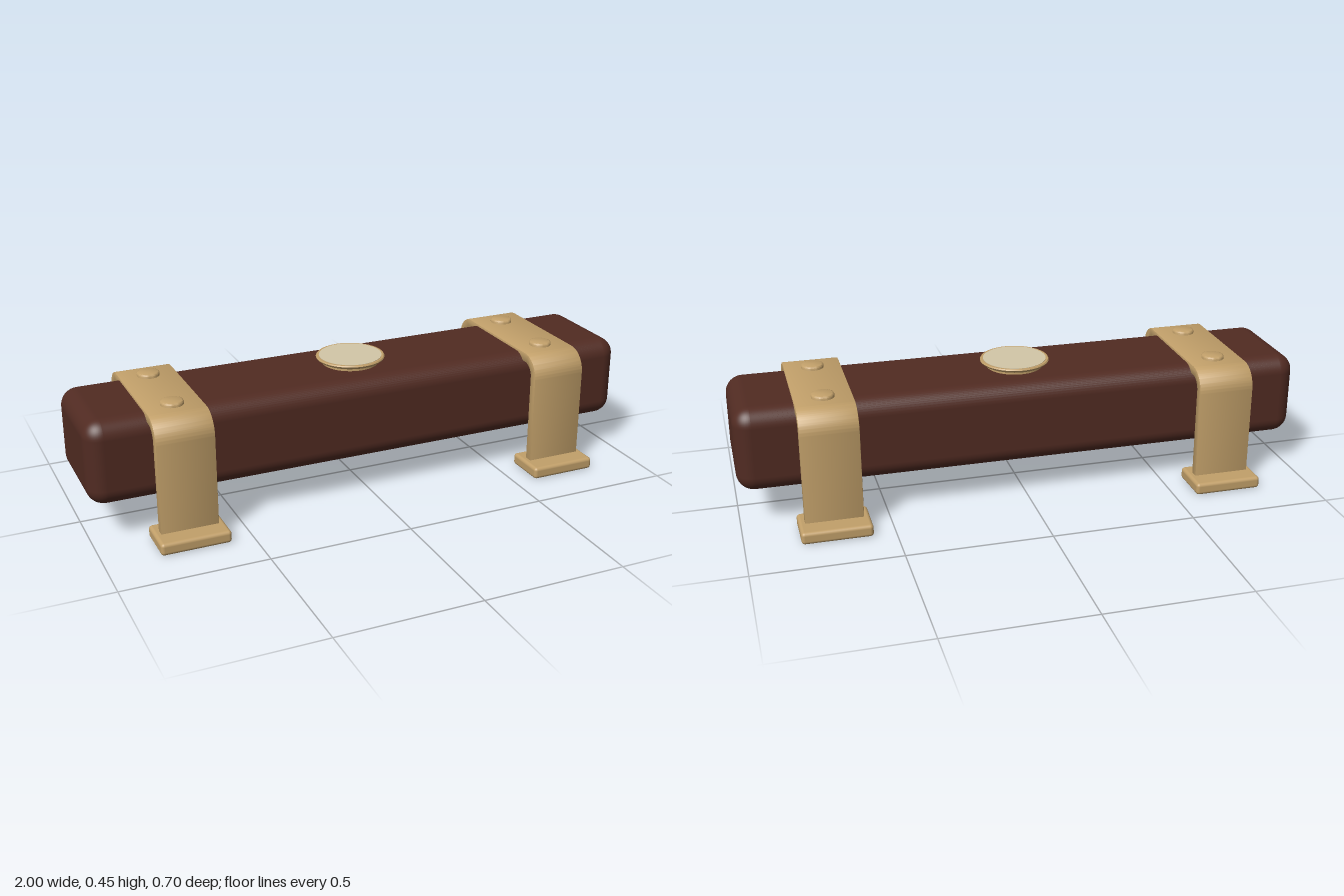
import * as THREE from 'three';
import { toCreasedNormals } from 'three/addons/utils/BufferGeometryUtils.js';
import { RoundedBoxGeometry } from 'three/addons/geometries/RoundedBoxGeometry.js';

const material = (name, color) => {
  const m = new THREE.MeshStandardMaterial({ color });
  m.name = name;
  return m;
};

// Arch outline in the side plane, drawn as outer edge then inner edge
function strapGeometry(width) {
  const bevel = 0.003;
  const out = 0.278 - bevel, inn = 0.246 + bevel;
  const top = 0.435 - bevel, under = 0.402 + bevel, foot = 0.03;
  const R = 0.075, r = 0.046;
  const s = new THREE.Shape();
  s.moveTo(out, foot);
  s.lineTo(out, top - R);
  s.absarc(out - R, top - R, R, 0, Math.PI / 2, false);
  s.lineTo(-out + R, top);
  s.absarc(-out + R, top - R, R, Math.PI / 2, Math.PI, false);
  s.lineTo(-out, foot);
  s.lineTo(-inn, foot);
  s.lineTo(-inn, under - r);
  s.absarc(-inn + r, under - r, r, Math.PI, Math.PI / 2, true);
  s.lineTo(inn - r, under);
  s.absarc(inn - r, under - r, r, Math.PI / 2, 0, true);
  s.lineTo(inn, foot);
  s.closePath();
  const depth = width - 2 * bevel;
  const g = new THREE.ExtrudeGeometry(s, {
    depth, curveSegments: 16, bevelEnabled: true,
    bevelThickness: bevel, bevelSize: bevel, bevelSegments: 2,
  });
  g.translate(0, 0, -depth / 2);
  g.rotateY(Math.PI / 2);
  return toCreasedNormals(g, 0.6);
}

// Turned part from [radius, height] pairs, bottom to top
const turned = (points, segments) => toCreasedNormals(
  new THREE.LatheGeometry(points.map(([x, y]) => new THREE.Vector2(x, y)), segments), 0.9);

export function createModel() {
  const group = new THREE.Group();
  const wood = material('dark wood', 0x512b22);
  const brass = material('brass', 0xc2a06a);
  const cream = material('cream', 0xd3c7a8);

  const add = (parent, name, geometry, mat, x = 0, y = 0, z = 0) => {
    const mesh = new THREE.Mesh(geometry, mat);
    mesh.name = name;
    mesh.position.set(x, y, z);
    parent.add(mesh);
  };

  // Long rounded bar
  add(group, 'bar', new RoundedBoxGeometry(2, 0.296, 0.4, 6, 0.06), wood, 0, 0.279, 0);

  // Two brackets, each with a strap, two feet and two rivets
  const strap = strapGeometry(0.198);
  const foot = new RoundedBoxGeometry(0.24, 0.043, 0.155, 4, 0.012);
  const rivet = turned([[0.039, 0.425], [0.039, 0.443], [0.0375, 0.4465], [0.034, 0.448], [0, 0.448]], 32);
  for (const side of [-1, 1]) {
    const bracket = new THREE.Group();
    bracket.name = side > 0 ? 'leftBracket' : 'rightBracket';
    bracket.position.x = side * 0.696;
    add(bracket, 'strap', strap, brass);
    for (const end of [-1, 1]) {
      add(bracket, 'foot', foot, brass, 0, 0.0215, end * 0.271);
      add(bracket, 'rivet', rivet, brass, 0, 0, end * 0.14);
    }
    group.add(bracket);
  }

  // Central medallion: flared rim with a pale inlay
  add(group, 'medallionRim', turned([
    [0.1, 0.42], [0.1, 0.435], [0.112, 0.439], [0.12, 0.445],
    [0.122, 0.449], [0.119, 0.453], [0.112, 0.453], [0, 0.452],
  ], 48), brass);
  add(group, 'medallionInlay', new THREE.CylinderGeometry(0.111, 0.111, 0.004, 48), cream, 0, 0.452, 0);

  return group;
}
